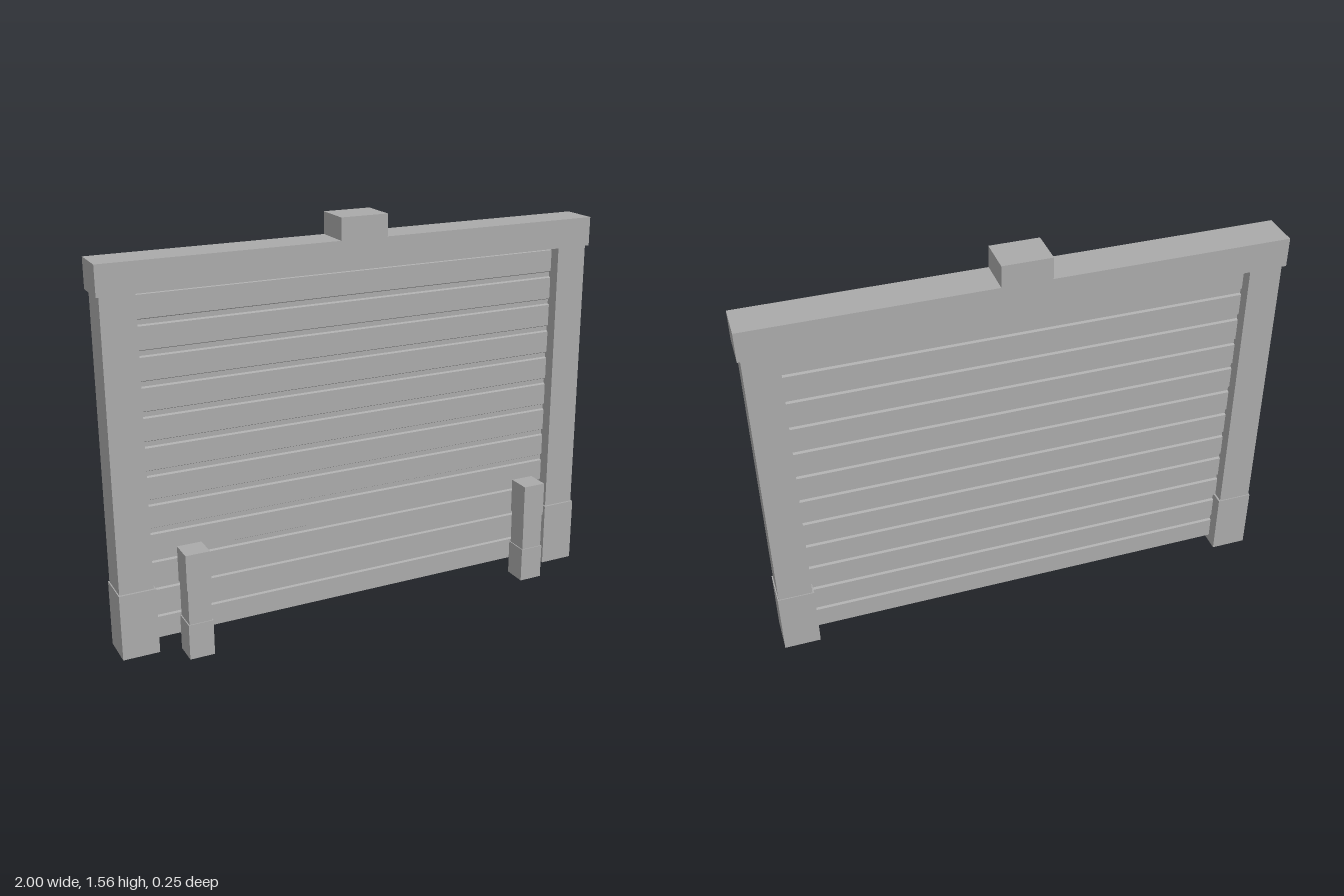
import * as THREE from 'three';

export function createModel() {
  const model = new THREE.Group();
  model.name = 'rollerShutterGate';
  const grey = new THREE.MeshStandardMaterial({ color: 0xaaaaaa });
  grey.name = 'plain grey';

  function add(name, geometry, parent = model) {
    const mesh = new THREE.Mesh(geometry, grey);
    mesh.name = name;
    parent.add(mesh);
    return mesh;
  }

  // Box from its limits, with an optional scale of the top end
  function block(name, [x0, x1], [y0, y1], [z0, z1], parent, taper = 1) {
    const g = new THREE.BoxGeometry(x1 - x0, y1 - y0, z1 - z0);
    const p = g.attributes.position;
    for (let i = 0; i < p.count; i++) {
      if (p.getY(i) > 0) p.setXYZ(i, p.getX(i) * taper, p.getY(i), p.getZ(i) * taper);
    }
    g.computeVertexNormals();
    g.translate((x0 + x1) / 2, (y0 + y1) / 2, (z0 + z1) / 2);
    return add(name, g, parent);
  }

  // Lintel with its raised centre block, one outline
  const lintel = new THREE.Shape([
    [-1, 1.365], [1, 1.365], [1, 1.478], [0.093, 1.478],
    [0.093, 1.562], [-0.095, 1.562], [-0.095, 1.478], [-1, 1.478],
  ].map(([x, y]) => new THREE.Vector2(x, y)));
  add('lintel', new THREE.ExtrudeGeometry(lintel, { depth: 0.147, bevelEnabled: false })
    .translate(0, 0, -0.124));

  for (const s of [-1, 1]) {
    const side = s > 0 ? 'left' : 'right';
    const span = (a, b) => (s > 0 ? [a, b] : [-b, -a]);

    // Pillar on a wider base
    const pillar = new THREE.Group();
    pillar.name = side + 'Pillar';
    block(side + 'PillarShaft', span(0.86, 0.99), [0.26, 1.365], [-0.114, 0.015], pillar, 0.98);
    block(side + 'PillarBase', span(0.853, 0.994), [0, 0.26], [-0.118, 0.024], pillar);
    model.add(pillar);

    // Bollard in three stacked sections, the middle one slightly slimmer
    const bollard = new THREE.Group();
    bollard.name = side + 'Bollard';
    [[0, 0.14, 0.048], [0.14, 0.28, 0.044], [0.28, 0.418, 0.047]].forEach(([y0, y1, r], i) => {
      block(side + 'BollardSection' + (i + 1), span(0.723 - r, 0.723 + r), [y0, y1],
        [0.08 - r, 0.08 + r], bollard);
    });
    model.add(bollard);
  }

  // Shutter: slats separated by shallow grooves on both faces
  const slats = 12, bottom = 0.03, pitch = (1.375 - bottom) / slats;
  const front = [];
  for (let i = 0; i < slats; i++) {
    const y = bottom + i * pitch;
    front.push([0.018, y], [0.018, y + pitch * 0.76],
      [0.009, y + pitch * 0.8], [0.009, y + pitch * 0.96]);
  }
  front.push([0.018, 1.375]);
  const back = front.map(([z, y]) => [-z, y]).reverse();
  const profile = new THREE.Shape([...front, ...back].map(([z, y]) => new THREE.Vector2(z, y)));
  const shutter = add('shutter', new THREE.ExtrudeGeometry(profile, { depth: 1.74, bevelEnabled: false })
    .translate(0, 0, -0.87).rotateY(-Math.PI / 2));
  shutter.position.z = -0.05;

  return model;
}
